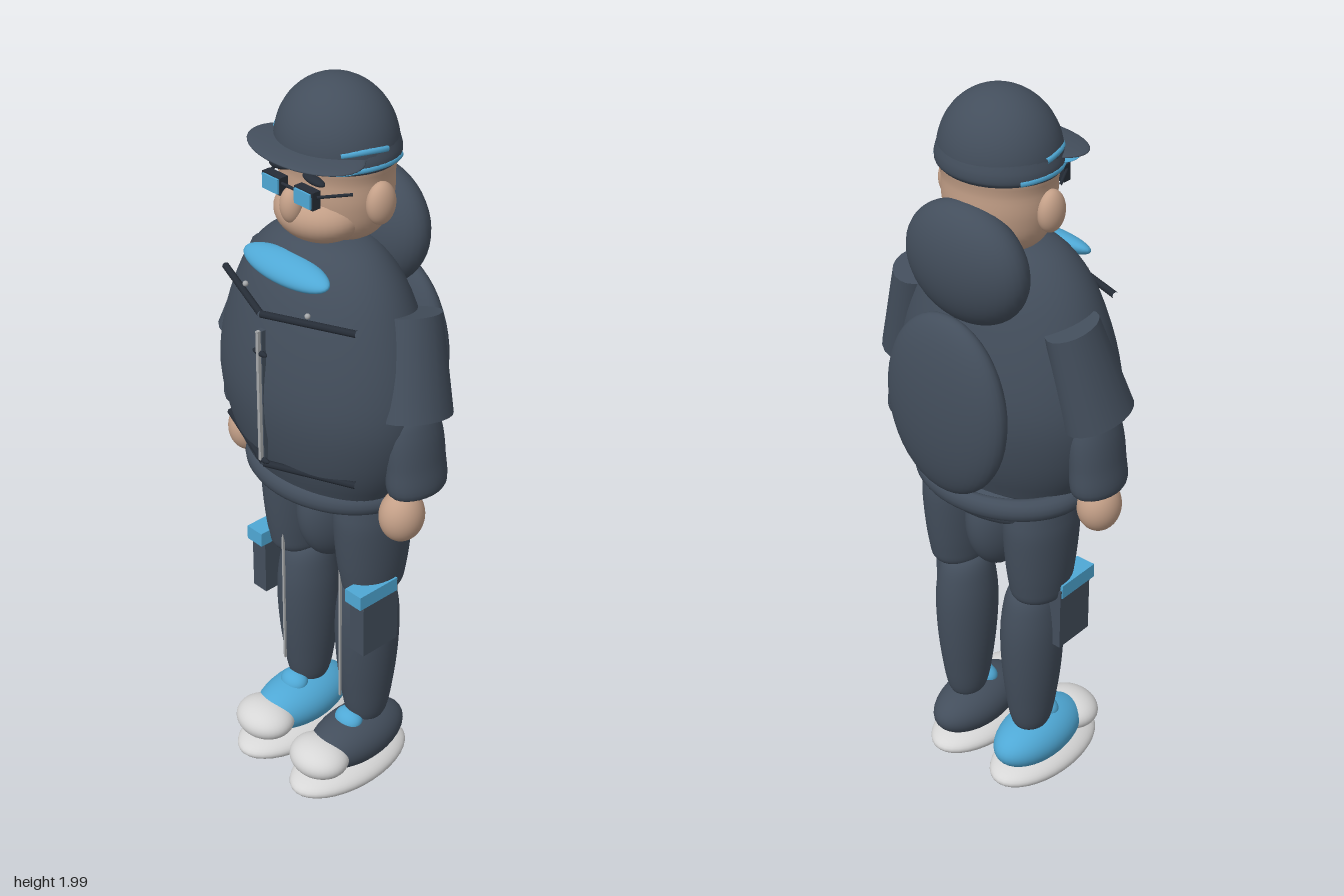
import * as THREE from 'three';

const mat = (name, color) => {
  const m = new THREE.MeshStandardMaterial({ color });
  m.name = name;
  return m;
};

export function createModel() {
  const cloth = mat('slateCloth', 0x434e5c);
  const blue = mat('skyBlue', 0x4fa8d5);
  const skin = mat('skin', 0xc4a088);
  const white = mat('rubberWhite', 0xd6d6d6);
  const metal = mat('zipMetal', 0xa6a8aa);
  const trim = mat('darkTrim', 0x262d37);

  const model = new THREE.Group();
  model.name = 'figure';

  const add = (name, geo, material, pos = [0, 0, 0], rot = [0, 0, 0], scale = [1, 1, 1]) => {
    const m = new THREE.Mesh(geo, material);
    m.name = name;
    m.position.set(...pos);
    m.rotation.set(...rot);
    m.scale.set(...scale);
    model.add(m);
    return m;
  };
  const ball = new THREE.SphereGeometry(1, 36, 24);
  const blob = (name, material, pos, size, rot) => add(name, ball, material, pos, rot, size);
  const box = (name, material, pos, size, rot) => add(name, new THREE.BoxGeometry(...size), material, pos, rot);
  // Smooth turned body through [radius, height] points
  const turned = (points, segments = 40) => {
    const curve = new THREE.SplineCurve(points.map(p => new THREE.Vector2(...p)));
    const pts = curve.getPoints(32).map(p => new THREE.Vector2(Math.max(p.x, 0), p.y));
    return new THREE.LatheGeometry(pts, segments);
  };
  // Thin rod between two points
  const rod = (name, material, a, b, r) => {
    const path = new THREE.LineCurve3(new THREE.Vector3(...a), new THREE.Vector3(...b));
    return add(name, new THREE.TubeGeometry(path, 1, r, 8), material);
  };

  // Head
  add('head', turned([[0, 1.612], [0.085, 1.62], [0.127, 1.66], [0.144, 1.72], [0.146, 1.78], [0.143, 1.85], [0, 1.9]]),
    skin, [0, 0, 0], [0, 0, 0], [1, 1, 0.86]);
  blob('jaw', skin, [0, 1.682, 0.058], [0.118, 0.072, 0.1]);
  blob('nose', skin, [0, 1.72, 0.145], [0.029, 0.045, 0.028]);

  // Cap with band, brim and blue edging
  const dome = new THREE.SphereGeometry(1, 40, 16, 0, Math.PI * 2, 0, Math.PI / 2);
  add('capDome', dome, cloth, [0, 1.84, 0.003], [0, 0, 0], [0.155, 0.16, 0.141]);
  add('capBand', turned([[0.147, 1.808], [0.158, 1.82], [0.159, 1.84], [0.152, 1.865]]), cloth,
    [0, 0, 0], [0, 0, 0], [1, 1, 0.89]);
  blob('capBrim', cloth, [0, 1.846, 0.1], [0.172, 0.013, 0.098], [0.05, 0, 0]);
  blob('brimLining', blue, [0, 1.832, 0.09], [0.155, 0.008, 0.085]);
  for (const s of [1, -1]) {
    const band = (name, y, from, to, r) => {
      const pts = [];
      for (let i = 0; i <= 10; i++) {
        const t = from + (to - from) * i / 10;
        pts.push(new THREE.Vector3(s * r * Math.cos(t), y + 0.006 * Math.sin(i / 10 * Math.PI), r * 0.9 * Math.sin(t)));
      }
      add(name, new THREE.TubeGeometry(new THREE.CatmullRomCurve3(pts), 20, 0.008, 8), blue);
    };
    band('capLowerStripe', 1.821, -0.6, 0.8, 0.154);
    band('capUpperStripe', 1.862, -0.1, 0.75, 0.15);
  }

  // Scarf, torso and hem
  add('torso', turned([[0, 1.632], [0.1, 1.622], [0.175, 1.585], [0.242, 1.5], [0.296, 1.36], [0.317, 1.22],
    [0.29, 1.09], [0.24, 0.99], [0.2, 0.96], [0, 0.95]], 56), cloth, [0, 0, 0.04], [0, 0, 0], [1, 1, 0.665]);
  blob('scarf', blue, [0, 1.565, 0.165], [0.145, 0.028, 0.045], [0.5, 0, 0]);
  add('jacketHem', new THREE.TorusGeometry(1, 0.13, 14, 56), cloth, [0, 0.962, 0.018],
    [Math.PI / 2 - 0.03, 0, 0], [0.222, 0.174, 0.23]);
  blob('hips', cloth, [0, 0.93, 0.005], [0.215, 0.075, 0.15]);
  blob('crotch', cloth, [0, 0.83, 0.01], [0.077, 0.152, 0.115]);

  // Jacket front: zip, yoke seam, hem seam and studs
  box('zip', metal, [0, 1.25, 0.256], [0.009, 0.36, 0.009]);
  box('zipBacking', cloth, [0, 1.25, 0.246], [0.016, 0.36, 0.012]);
  for (const y of [1.37, 1.07]) blob('zipPull', trim, [0, y, 0.252], [0.025, 0.008, 0.008]);
  for (const s of [1, -1]) {
    rod('yokeSeam', trim, [0, 1.472, 0.246], [s * 0.232, 1.479, 0.157], 0.009);
    rod('hemSeam', trim, [0, 1.055, 0.246], [s * 0.232, 1.062, 0.157], 0.009);
    blob('stud', metal, [s * 0.11, 1.492, 0.198], [0.007, 0.007, 0.007]);
  }

  // Hood and backpack
  blob('hood', cloth, [0, 1.598, -0.115], [0.177, 0.158, 0.09], [-0.1, 0, 0]);
  blob('backpack', cloth, [0, 1.245, -0.195], [0.184, 0.245, 0.066]);

  const sleeve = new THREE.CylinderGeometry(0.075, 0.1, 0.25, 20);
  const forearm = turned([[0, 0.13], [0.05, 0.115], [0.07, 0.06], [0.075, -0.02], [0.07, -0.1], [0, -0.105]], 24);
  const thigh = turned([[0, 0.63], [0.06, 0.645], [0.076, 0.7], [0.087, 0.82], [0.087, 0.9], [0.07, 0.97], [0, 0.985]]);
  const shin = turned([[0, 0.19], [0.045, 0.2], [0.067, 0.32], [0.078, 0.46], [0.075, 0.57], [0.055, 0.65], [0, 0.675]]);

  for (const s of [1, -1]) {
    // Face details
    blob('ear', skin, [s * 0.152, 1.733, 0.006], [0.029, 0.053, 0.04]);
    box('glassesFrame', trim, [s * 0.055, 1.76, 0.146], [0.062, 0.044, 0.024]);
    box('lens', blue, [s * 0.055, 1.76, 0.16], [0.054, 0.037, 0.006]);
    rod('glassesArm', trim, [s * 0.085, 1.768, 0.145], [s * 0.125, 1.765, 0.07], 0.004);
    blob('eyebrow', trim, [s * 0.058, 1.797, 0.128], [0.035, 0.01, 0.014], [0, 0, -s * 0.1]);

    // Arms
    add('shortSleeve', sleeve, cloth, [s * 0.268, 1.352, 0], [-0.17, 0, s * 0.22], [0.8, 1, 1]);
    add('forearm', forearm, cloth, [s * 0.295, 1.13, 0.02], [0, 0, s * 0.1], [0.8, 1, 1.12]);
    blob('hand', skin, [s * 0.284, 0.953, 0.05], [0.055, 0.07, 0.06]);

    // Legs with pressed crease
    add('thigh', thigh, cloth, [s * 0.137, 0, 0.005], [0, 0, 0], [1, 1, 1.28]);
    add('shin', shin, cloth, [s * 0.114, 0, 0], [0, 0, 0], [1, 1, 1.17]);
    box('trouserCrease', metal, [s * 0.11, 0.53, 0.094], [0.006, 0.46, 0.006]);

    // Cargo pockets
    box('cargoPocket', cloth, [s * 0.19, 0.59, 0.05], [0.05, 0.18, 0.12]);
    box('pocketFlap', blue, [s * 0.19, 0.677, 0.06], [0.056, 0.04, 0.13]);

    // Shoes in two colours
    blob('sole', white, [s * 0.108, 0.054, 0.062], [0.104, 0.047, 0.195]);
    blob('shoe', s > 0 ? cloth : blue, [s * 0.11, 0.135, 0.035], [0.088, 0.075, 0.158]);
    blob('toeCap', white, [s * 0.11, 0.132, 0.17], [0.087, 0.05, 0.075]);
    blob('shoeTongue', blue, [s * 0.11, 0.2, 0.062], [0.042, 0.03, 0.035], [0.4, 0, 0]);
  }
  // Lens bridge
  rod('glassesBridge', trim, [-0.028, 1.768, 0.152], [0.028, 1.768, 0.152], 0.004);

  // Turned profiles run in either direction, so face all of them outwards
  model.traverse(o => {
    if (o.isMesh && o.geometry.type === 'LatheGeometry' && !o.geometry.userData.checked) {
      const p = o.geometry.parameters.points;
      if (p[0].y > p[p.length - 1].y) {
        const ix = o.geometry.index.array;
        for (let i = 0; i < ix.length; i += 3) [ix[i], ix[i + 1]] = [ix[i + 1], ix[i]];
        const n = o.geometry.attributes.normal;
        for (let i = 0; i < n.count; i++) n.setXYZ(i, -n.getX(i), -n.getY(i), -n.getZ(i));
      }
      o.geometry.userData.checked = true;
    }
  });
  return model;
}
